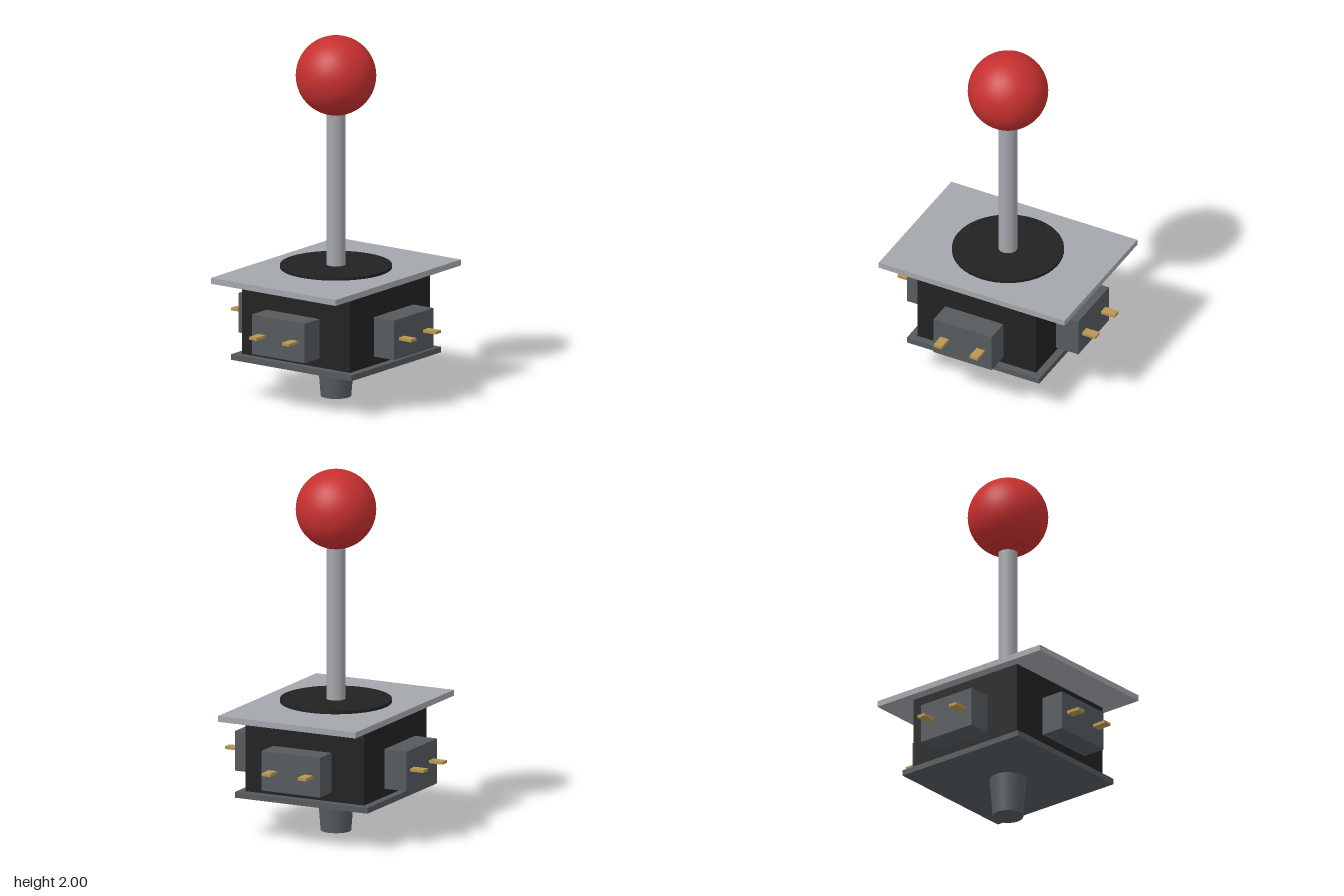
import * as THREE from 'three';

const material = (name, color) => {
  const m = new THREE.MeshStandardMaterial({ color });
  m.name = name;
  return m;
};

export function createModel() {
  const red = material('ball red', 0xc62f2f);
  const steel = material('steel grey', 0xa3a6ab);
  const black = material('black plastic', 0x222222);
  const slate = material('slate plastic', 0x555a5d);
  const brass = material('brass', 0xb8964e);

  const model = new THREE.Group();
  model.name = 'joystick';

  const add = (parent, name, geometry, mat, x, y, z) => {
    const mesh = new THREE.Mesh(geometry, mat);
    mesh.name = name;
    mesh.position.set(x, y, z);
    parent.add(mesh);
    return mesh;
  };
  // Box and cylinder placed by their bottom and top heights
  const box = (name, w, d, y0, y1, mat) =>
    add(model, name, new THREE.BoxGeometry(w, y1 - y0, d), mat, 0, (y0 + y1) / 2, 0);
  const cylinder = (name, rTop, rBottom, y0, y1, mat) =>
    add(model, name, new THREE.CylinderGeometry(rTop, rBottom, y1 - y0, 48), mat, 0, (y0 + y1) / 2, 0);

  // Stick
  add(model, 'ballTop', new THREE.SphereGeometry(0.218, 48, 32), red, 0, 1.782, 0);
  cylinder('shaft', 0.052, 0.052, 0.6, 1.6, steel);
  cylinder('dustWasher', 0.303, 0.303, 0.713, 0.73, black);

  // Housing
  box('mountingPlate', 1.138, 0.84, 0.672, 0.705, steel);
  box('body', 0.726, 0.726, 0.25, 0.672, black);
  box('basePlate', 0.81, 0.81, 0.218, 0.25, slate);
  cylinder('actuator', 0.1, 0.083, 0, 0.218, slate);

  // One microswitch with two terminals on each side
  const caseGeometry = new THREE.BoxGeometry(0.355, 0.22, 0.135);
  const terminalGeometry = new THREE.BoxGeometry(0.05, 0.016, 0.085);
  for (let i = 0; i < 4; i++) {
    const microswitch = new THREE.Group();
    microswitch.name = 'microswitch';
    microswitch.rotation.y = i * Math.PI / 2;
    add(microswitch, 'switchCase', caseGeometry, slate, 0, 0.418, 0.4565);
    for (const side of [-1, 1]) {
      add(microswitch, 'terminal', terminalGeometry, brass, side * 0.11, 0.418, 0.5635);
    }
    model.add(microswitch);
  }
  return model;
}
